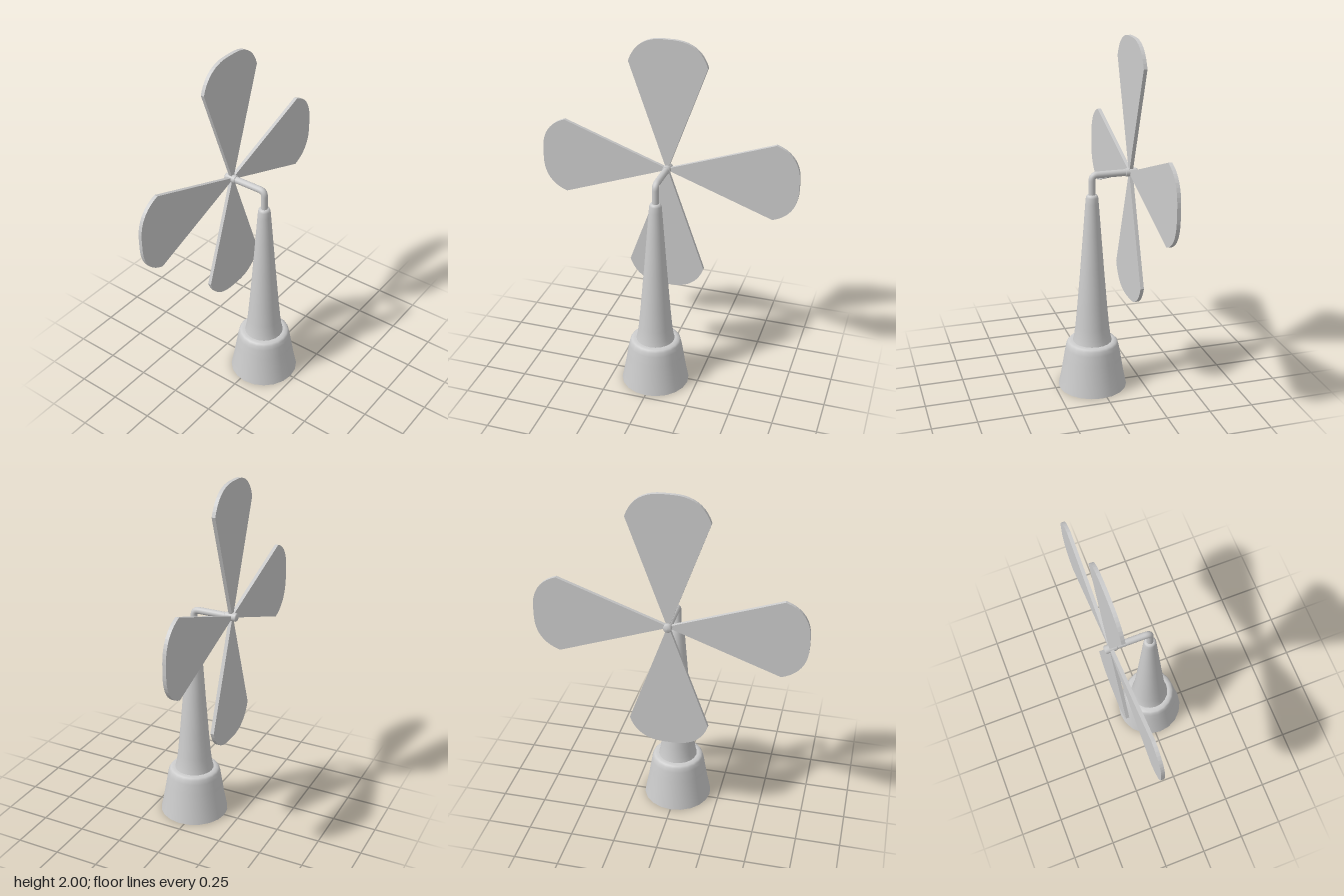
import * as THREE from 'three';

const AXIS_Z = 0.031, HUB_Y = 1.26;

export function createModel() {
  const model = new THREE.Group();
  const mat = new THREE.MeshStandardMaterial({ color: 0xcccccc, side: THREE.DoubleSide });

  const add = (name, geometry, x = 0, y = 0, z = 0) => {
    const mesh = new THREE.Mesh(geometry, mat);
    mesh.name = name;
    mesh.position.set(x, y, z);
    model.add(mesh);
    return mesh;
  };
  const lathe = (points, sides) =>
    new THREE.LatheGeometry(points.map(([r, y]) => new THREE.Vector2(r, y)), sides);

  // Hollow flared base, open underneath, with a rounded shoulder
  add('base', lathe([[0.196, 0], [0.178, 0.09], [0.163, 0.18], [0.153, 0.24],
    [0.147, 0.265], [0.138, 0.276], [0.122, 0.28], [0.1, 0.28]], 20), 0, 0, AXIS_Z);

  // Tapering tower with a softened top
  add('tower', lathe([[0.112, 0.278], [0.104, 0.31], [0.096, 0.37], [0.084, 0.5],
    [0.066, 0.72], [0.05, 0.93], [0.037, 1.1], [0.034, 1.135], [0.029, 1.147],
    [0.02, 1.15], [0, 1.15]], 20), 0, 0, AXIS_Z);

  // Bent axle: upright post, elbow and horizontal shaft
  const bend = 0.03;
  const path = new THREE.CurvePath();
  const p = (y, z) => new THREE.Vector3(0, y, z);
  path.add(new THREE.LineCurve3(p(1.14, AXIS_Z), p(HUB_Y - bend, AXIS_Z)));
  path.add(new THREE.QuadraticBezierCurve3(
    p(HUB_Y - bend, AXIS_Z), p(HUB_Y, AXIS_Z), p(HUB_Y, AXIS_Z - bend)));
  path.add(new THREE.LineCurve3(p(HUB_Y, AXIS_Z - bend), p(HUB_Y, -0.19)));
  add('axle', new THREE.TubeGeometry(path, 48, 0.019, 14, false));

  // Hub through the blade centre, slightly thicker than the shaft
  const hub = add('hub', lathe([[0, 0], [0.019, 0], [0.023, 0.004], [0.023, 0.062],
    [0.019, 0.069], [0, 0.071]], 16), 0, HUB_Y, -0.157);
  hub.rotation.x = -Math.PI / 2;

  // Four flat blades, narrow at the hub with rounded tips
  const outline = new THREE.Shape();
  outline.moveTo(-0.004, 0);
  outline.lineTo(0.004, 0);
  outline.lineTo(0.221, 0.605);
  outline.bezierCurveTo(0.19, 0.7, 0.12, 0.74, 0.03, 0.741);
  outline.lineTo(-0.03, 0.741);
  outline.bezierCurveTo(-0.12, 0.74, -0.19, 0.7, -0.221, 0.605);
  outline.closePath();
  const bladeGeometry = new THREE.ExtrudeGeometry(outline,
    { depth: 0.02, bevelEnabled: false, curveSegments: 10 });
  for (let i = 0; i < 4; i++) {
    add('blade' + (i + 1), bladeGeometry, 0, HUB_Y, -0.2).rotation.z = i * Math.PI / 2;
  }
  return model;
}
